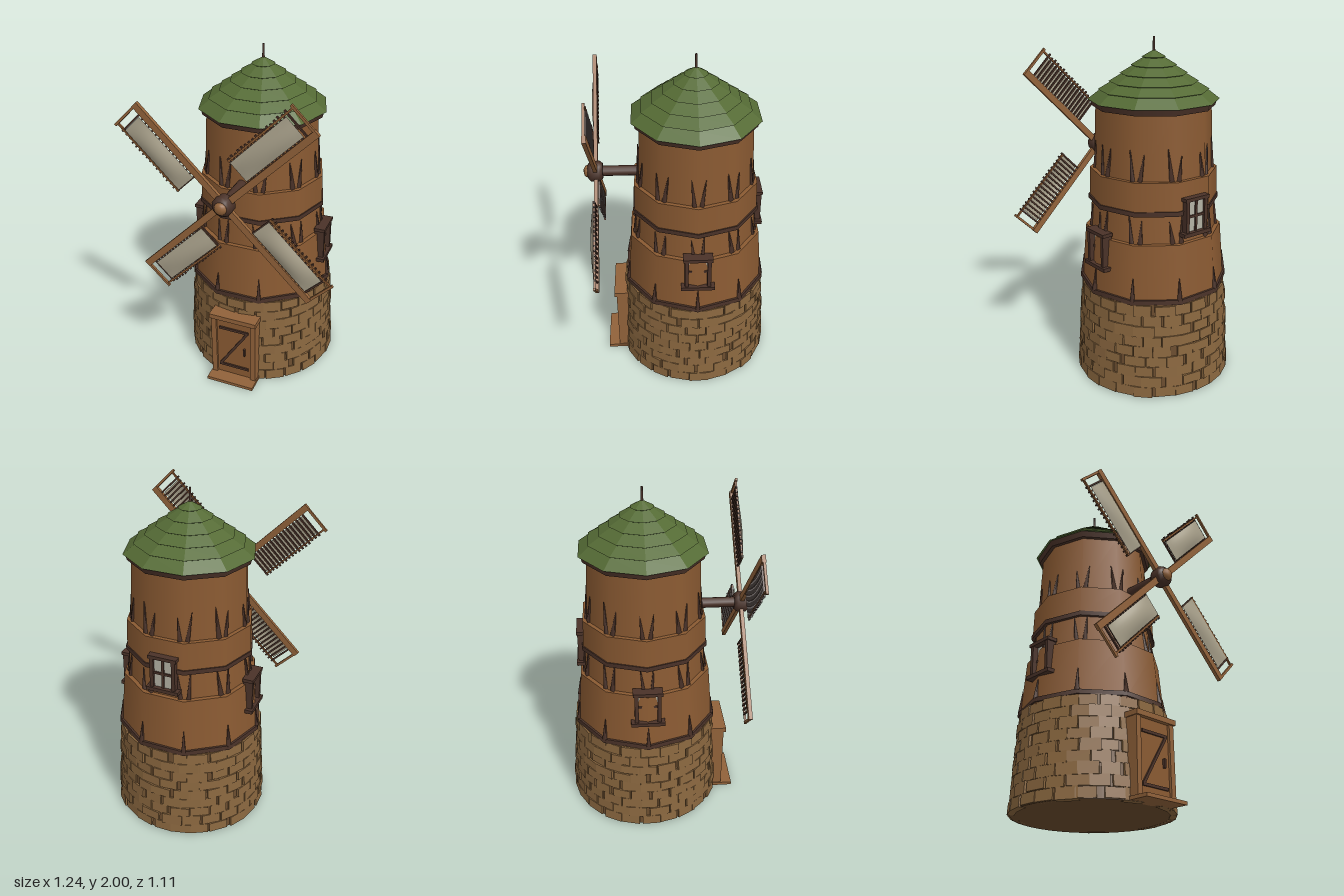
import * as THREE from 'three';

const mat = (color, extra = {}) => new THREE.MeshStandardMaterial({ color, ...extra });
const wood = mat(0x8a5a32);
const paleWood = mat(0x91623a);
const dark = mat(0x4a3228);
const stone = mat(0x8a673f);
const mortar = mat(0x6a4c2e);
const green = mat(0x556b35, { flatShading: true });
const cloth = mat(0xaaa28c, { side: THREE.DoubleSide });
const glass = mat(0xb4b2a4);

const STEP = Math.PI / 5; // ten-sided tower
const TURN = Math.PI / 10; // puts a corner on +x and -x

let seed = 7;
const rand = () => (seed = (seed * 16807) % 2147483647) / 2147483647;

function add(parent, name, geometry, material, x = 0, y = 0, z = 0) {
  const mesh = new THREE.Mesh(geometry, material);
  mesh.name = name;
  mesh.position.set(x, y, z);
  parent.add(mesh);
  return mesh;
}

const box = (parent, name, material, w, h, d, x, y, z) =>
  add(parent, name, new THREE.BoxGeometry(w, h, d), material, x, y, z);

// Ten-sided ring or drum between two heights
function drum(parent, name, material, y0, y1, r0, r1) {
  const g = new THREE.CylinderGeometry(r1, r0, y1 - y0, 10);
  return add(parent, name, g.rotateY(TURN), material, 0, (y0 + y1) / 2, 0);
}

function group(parent, name) {
  const g = new THREE.Group();
  g.name = name;
  parent.add(g);
  return g;
}

// Rows of uneven stones around a round core
function stoneBase(tower) {
  const base = group(tower, 'stoneBase');
  add(base, 'stoneCore', new THREE.CylinderGeometry(0.423, 0.458, 0.57, 40), mortar, 0, 0.285, 0);
  const rows = 9, h = 0.565 / rows, count = 24;
  for (let row = 0; row < rows; row++) {
    const y = (row + 0.5) * h;
    const r = 0.457 - 0.035 * (y / 0.57);
    for (let i = 0; i < count; i++) {
      const a = ((i + (row % 2) * 0.5 + (rand() - 0.5) * 0.25) / count) * Math.PI * 2;
      const w = 0.1 + rand() * 0.025;
      const out = 0.004 + rand() * 0.009;
      const holder = group(base, 'stoneHolder');
      holder.rotation.y = a;
      const s = box(holder, 'stone', stone, w, h * (0.88 + rand() * 0.22), 0.04, 0, y, r + out - 0.02);
      s.rotation.x = -0.06;
    }
  }
}

// Thin pointed slats standing at the corners of a tier
function slats(tower, y, r0, r1, height, leans) {
  for (let i = 0; i < 10; i++) {
    const holder = group(tower, 'slatHolder');
    holder.rotation.y = TURN + i * STEP;
    leans.forEach((lean, k) => {
      const h = height * (0.8 + rand() * 0.3);
      const g = new THREE.CylinderGeometry(0.002, 0.017, h, 4, 1).rotateY(Math.PI / 4);
      const x = leans.length > 1 ? (k - 0.5) * 0.06 : 0;
      const s = add(holder, 'slat', g, dark, x, y + h / 2, (r0 + r1) / 2 - Math.abs(x) * 0.3);
      s.rotation.set(-(r0 - r1) / height, 0, lean);
    });
  }
}

// Window facing local +z, its wall plane at the given depth
function windowFrame(tower, name, angle, y, depth, glassDepth) {
  const w = group(tower, name);
  w.rotation.y = angle;
  w.position.y = y;
  box(w, 'glass', glass, 0.13, 0.18, 0.02, 0, 0, glassDepth - 0.01);
  for (const s of [-1, 1]) box(w, 'jamb', dark, 0.022, 0.2, 0.06, s * 0.065, 0, depth - 0.035);
  box(w, 'lintel', dark, 0.17, 0.02, 0.065, 0, 0.1, depth - 0.033);
  box(w, 'sill', dark, 0.195, 0.022, 0.08, 0, -0.1, depth - 0.035);
  box(w, 'mullion', dark, 0.014, 0.19, 0.012, 0, 0, glassDepth + 0.003);
  box(w, 'crossbar', dark, 0.12, 0.014, 0.012, 0, 0, glassDepth + 0.003);
}

function door(model) {
  const d = group(model, 'door');
  box(d, 'doorstep', paleWood, 0.3, 0.02, 0.14, 0, 0.01, 0.4);
  box(d, 'doorPanel', wood, 0.23, 0.43, 0.08, 0, 0.235, 0.347);
  for (const s of [-1, 1]) box(d, 'doorPost', paleWood, 0.033, 0.43, 0.1, s * 0.127, 0.235, 0.352);
  box(d, 'doorLintel', paleWood, 0.3, 0.03, 0.13, 0, 0.457, 0.35);
  for (const y of [0.085, 0.37]) box(d, 'doorBrace', dark, 0.19, 0.016, 0.012, 0, y, 0.39);
  const diagonal = box(d, 'doorDiagonal', dark, 0.33, 0.016, 0.012, 0, 0.228, 0.39);
  diagonal.rotation.z = Math.atan2(0.28, 0.18);
  box(d, 'doorHandle', dark, 0.012, 0.05, 0.02, 0.07, 0.22, 0.393);
}

// Stepped shingle roof with a spike
function roof(tower) {
  const r = group(tower, 'roof');
  drum(r, 'eaveRing', dark, 1.62, 1.657, 0.352, 0.362);
  const points = [new THREE.Vector2(0, 1.65), new THREE.Vector2(0.375, 1.655)];
  const rows = 6, height = 0.27;
  for (let i = 1; i <= rows; i++) {
    const y = 1.658 + (height * i) / rows;
    const edge = 0.372 * (1 - i / rows);
    points.push(new THREE.Vector2(Math.max(edge - 0.002, 0), y + (i < rows ? 0.003 : 0)));
    if (i < rows) points.push(new THREE.Vector2(edge + 0.006, y + 0.007));
  }
  add(r, 'shingles', new THREE.LatheGeometry(points, 10).rotateY(TURN), green);
  add(r, 'spike', new THREE.CylinderGeometry(0.006, 0.008, 0.09, 8), dark, 0, 1.955, 0);
}

// One sail along local +x with its lattice on the +y side
function sail(parent, angle) {
  const s = group(parent, 'sail');
  s.rotation.z = angle;
  box(s, 'spar', paleWood, 0.7, 0.038, 0.022, 0.35, -0.003, -0.008);
  box(s, 'outerRail', wood, 0.49, 0.01, 0.012, 0.453, 0.163, -0.008);
  box(s, 'endBar', paleWood, 0.014, 0.185, 0.014, 0.692, 0.088, -0.006);
  for (let i = 0; i < 17; i++) {
    box(s, 'rung', dark, 0.01, 0.165 + rand() * 0.015, 0.01, 0.215 + i * 0.0268, 0.092, -0.01);
  }
  // Cloth bulges forward between its edges
  const g = new THREE.PlaneGeometry(0.42, 0.128, 12, 6);
  const p = g.attributes.position;
  for (let i = 0; i < p.count; i++) {
    const u = p.getX(i) / 0.21, v = p.getY(i) / 0.064;
    p.setZ(i, 0.018 * (1 - u * u) * (1 - v * v));
  }
  g.computeVertexNormals();
  add(s, 'sailCloth', g, cloth, 0.425, 0.088, 0.002);
}

function sails(model) {
  const rotor = group(model, 'rotor');
  rotor.position.set(0, 1.29, 0.49);
  const alongZ = (r0, r1, h, n) => new THREE.CylinderGeometry(r1, r0, h, n).rotateX(Math.PI / 2);
  add(rotor, 'axle', alongZ(0.03, 0.03, 0.32, 12), dark, 0, 0, -0.14);
  const profile = [[0, -0.048], [0.045, -0.048], [0.06, -0.028], [0.06, 0.02], [0.045, 0.035], [0.036, 0.04]];
  const hub = new THREE.LatheGeometry(profile.map(([x, y]) => new THREE.Vector2(x, y)), 10);
  add(rotor, 'hub', hub.rotateX(Math.PI / 2), dark);
  const cap = new THREE.SphereGeometry(0.037, 12, 8).scale(1, 1, 0.7);
  add(rotor, 'hubCap', cap, paleWood, 0, 0, 0.038);
  for (let i = 0; i < 4; i++) sail(rotor, Math.PI / 4 + (i * Math.PI) / 2);
}

export function createModel() {
  const model = new THREE.Group();
  model.name = 'windmill';
  const tower = group(model, 'tower');
  tower.position.z = -0.09;

  stoneBase(tower);
  // Wooden tiers, each narrower than the one below
  drum(tower, 'lowerTier', wood, 0.56, 0.91, 0.43, 0.4);
  drum(tower, 'middleTier', wood, 0.9, 1.1, 0.375, 0.36);
  drum(tower, 'collarTier', wood, 1.09, 1.26, 0.375, 0.37);
  drum(tower, 'upperTier', wood, 1.25, 1.63, 0.346, 0.33);
  drum(tower, 'lowerBand', dark, 0.568, 0.595, 0.442, 0.44);
  drum(tower, 'middleBand', dark, 1.07, 1.097, 0.382, 0.382);

  slats(tower, 0.59, 0.428, 0.418, 0.13, [0]);
  slats(tower, 0.91, 0.375, 0.364, 0.16, [0.12, -0.05]);
  slats(tower, 1.26, 0.346, 0.34, 0.17, [0.1, -0.14]);

  windowFrame(tower, 'leftWindow', Math.PI / 2, 0.84, 0.425, 0.386);
  windowFrame(tower, 'rightWindow', -Math.PI / 2, 0.84, 0.425, 0.386);
  windowFrame(tower, 'backWindow', Math.PI, 1.06, 0.395, 0.375);

  roof(tower);
  door(model);
  sails(model);
  return model;
}
